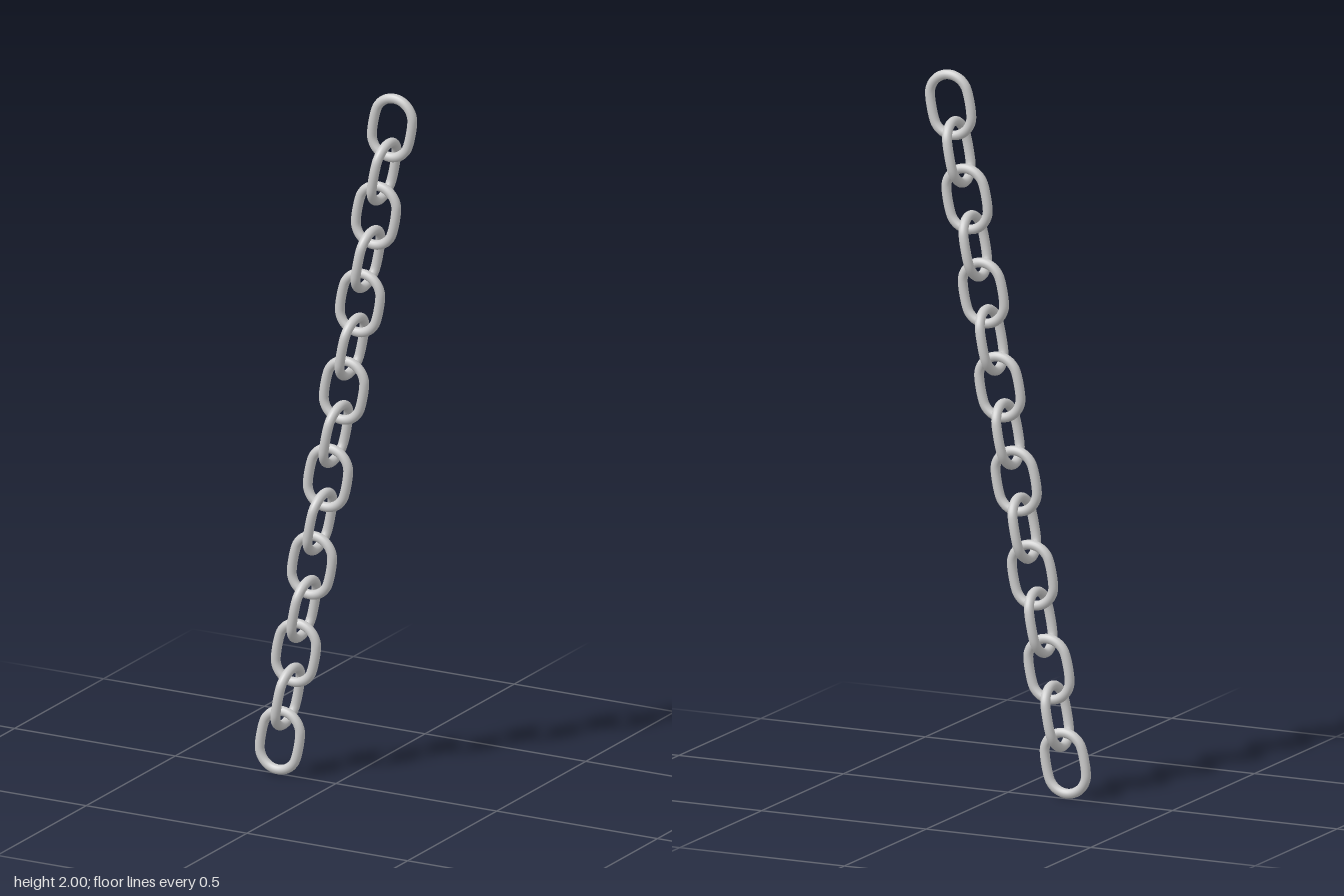
import * as THREE from 'three';

const LINKS = 15;
const WIRE = 0.0135; // wire radius
const BEND = 0.058; // radius of the rounded ends, at the wire's centre
const STRAIGHT = 0.027; // half length of the straight sides

// One oblong link lying in the xy plane, long axis along y
function linkGeometry() {
  const points = [];
  for (const end of [1, -1]) {
    for (let i = 0; i <= 8; i++) {
      const a = (i / 8) * Math.PI;
      points.push(new THREE.Vector3(end * BEND * Math.cos(a), end * (STRAIGHT + BEND * Math.sin(a)), 0));
    }
  }
  const path = new THREE.CatmullRomCurve3(points, true);
  return new THREE.TubeGeometry(path, 72, WIRE, 16, true);
}

export function createModel() {
  const chain = new THREE.Group();
  chain.name = 'chain';
  const material = new THREE.MeshStandardMaterial({ color: 0xcccccc });
  const geometry = linkGeometry();

  // Centres of the two end links; the chain leans along this line
  const bottom = new THREE.Vector3(-0.1725, 0.098, 0.0035);
  const top = new THREE.Vector3(0.1725, 1.902, -0.0035);
  const axis = top.clone().sub(bottom).normalize();
  const lean = new THREE.Quaternion().setFromUnitVectors(new THREE.Vector3(0, 1, 0), axis);
  const quarterTurn = new THREE.Quaternion().setFromAxisAngle(new THREE.Vector3(0, 1, 0), Math.PI / 2);

  // Every second link is turned a quarter about the chain's axis
  for (let i = 0; i < LINKS; i++) {
    const link = new THREE.Mesh(geometry, material);
    link.name = `link${i + 1}`;
    link.position.lerpVectors(bottom, top, i / (LINKS - 1));
    link.quaternion.copy(lean);
    if (i % 2) link.quaternion.multiply(quarterTurn);
    chain.add(link);
  }
  return chain;
}
